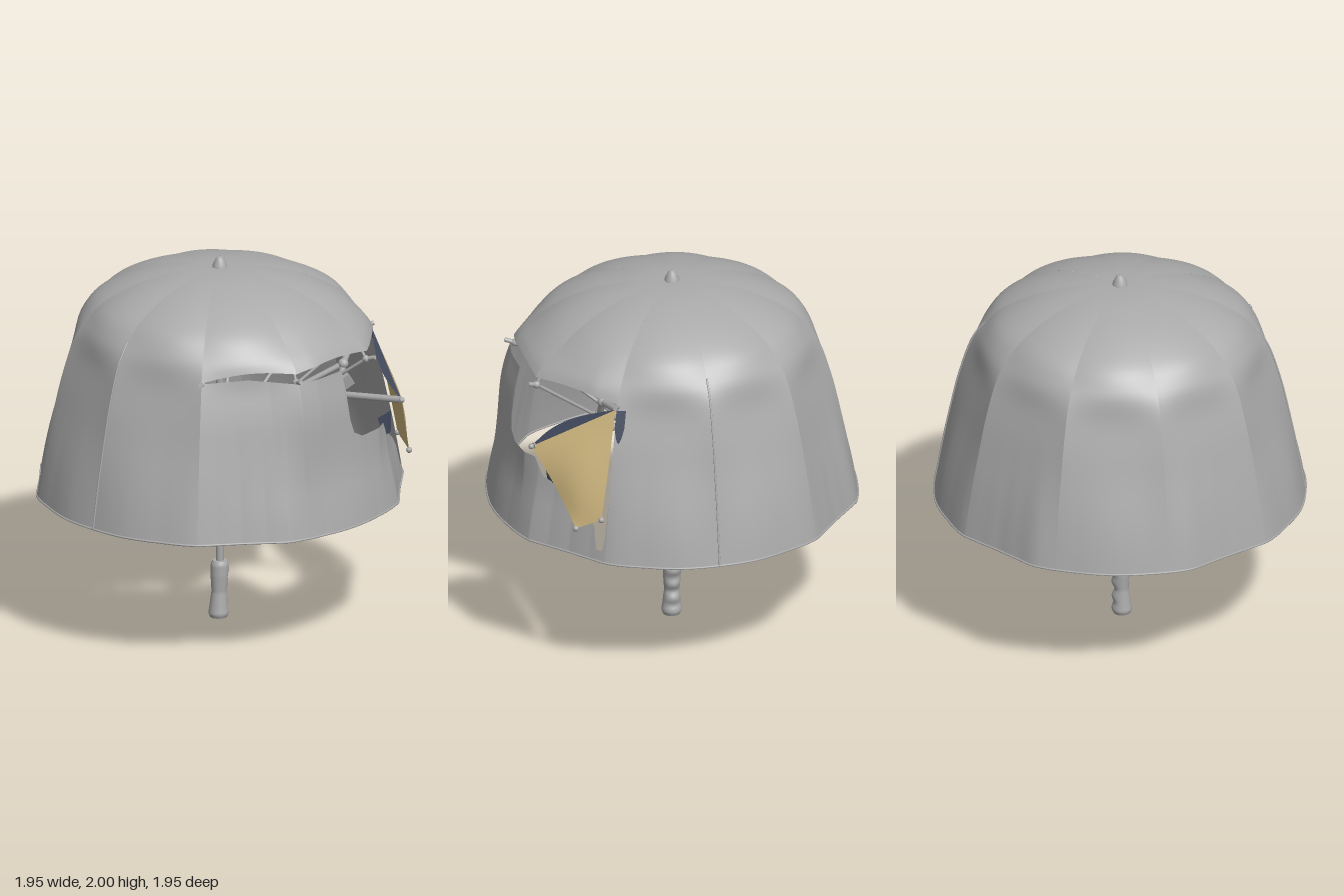
import * as THREE from 'three';

const grey = new THREE.MeshStandardMaterial({ color: 0xaaaaaa, side: THREE.DoubleSide });
grey.name = 'grey';
const tan = new THREE.MeshStandardMaterial({ color: 0xcbb37c, side: THREE.DoubleSide });
tan.name = 'tan';
const navy = new THREE.MeshStandardMaterial({ color: 0x40485b, side: THREE.DoubleSide });
navy.name = 'navy';

const V = (x, y, z) => new THREE.Vector3(x, y, z);
const { lerp, smoothstep, clamp } = THREE.MathUtils;

// Piecewise linear lookup in [[x, y], ...]
function lookup(table, x) {
  for (let i = 1; i < table.length; i++) {
    const [x0, y0] = table[i - 1], [x1, y1] = table[i];
    if (x <= x1) return lerp(y0, y1, clamp((x - x0) / (x1 - x0), 0, 1));
  }
  return table[table.length - 1][1];
}

// Canopy section along a rib (radius, height), and hem radius by angle in one quadrant
const section = new THREE.SplineCurve([
  [0, 1.945], [0.2, 1.935], [0.42, 1.885], [0.6, 1.8], [0.7, 1.71], [0.775, 1.6],
  [0.84, 1.4], [0.885, 1.2], [0.925, 1.0], [0.97, 0.74],
].map(([x, y]) => new THREE.Vector2(x, y)));
const hemRadius = [[0, 0.97], [12, 0.975], [24, 0.968], [35, 0.978], [42, 0.953], [50, 0.94], [58, 0.952],
  [65, 0.98], [78, 0.968], [90, 0.97]];
// How far the torn front cloth bellies out, by angle
const bellyOut = [[36, 0], [46, 0.045], [68, 0.075], [100, 0.075], [118, 0.03], [144, 0]];

// Section parameter at a given height
function tAt(y) {
  let a = 0, b = 1;
  for (let i = 0; i < 24; i++) {
    const m = (a + b) / 2;
    if (section.getPoint(m).y > y) a = m; else b = m;
  }
  return a;
}

// Point on the canopy; angle in degrees from +x towards the front (+z)
function canopyPoint(deg, t, offset = 0) {
  const { x: r, y } = section.getPoint(t);
  const mid = (((deg % 36) + 36) % 36 - 18) * Math.PI / 180;
  // taut between the ribs at the shoulder, puffed over them on the dome
  const deca = Math.cos(Math.PI / 10) / Math.cos(mid);
  const upper = lerp(deca, 1 + 0.035 * Math.cos(5 * mid), smoothstep(y, 1.5, 1.82));
  let q = ((deg % 180) + 180) % 180;
  if (q > 90) q = 180 - q;
  const f = lerp(lookup(hemRadius, q) / 0.97, upper, smoothstep(y, 0.8, 1.5));
  const out = lookup(bellyOut, deg) * smoothstep(y, 0.95, 1.5) * (1 - smoothstep(y, 1.6, 1.8));
  const R = r * f + out + offset, a = deg * Math.PI / 180;
  return V(R * Math.cos(a), y, R * Math.sin(a));
}

// Smooth grid surface from fn(u, v)
function sheet(fn, nu, nv) {
  const pos = [], idx = [];
  for (let j = 0; j <= nv; j++) for (let i = 0; i <= nu; i++) pos.push(...fn(i / nu, j / nv).toArray());
  for (let j = 0; j < nv; j++) for (let i = 0; i < nu; i++) {
    const a = j * (nu + 1) + i, b = a + nu + 1;
    idx.push(a, a + 1, b, a + 1, b + 1, b);
  }
  const g = new THREE.BufferGeometry();
  g.setAttribute('position', new THREE.Float32BufferAttribute(pos, 3));
  g.setIndex(idx);
  g.computeVertexNormals();
  return g;
}

// Upper edge of the torn skirt, by angle
const skirtTop = [[36, 1.06], [36.6, 0.83], [37.5, 0.8], [39.5, 0.8], [41, 0.92], [47, 1.0], [56, 1.07], [63, 1.1], [67, 1.19],
  [81, 1.185], [85, 1.22], [86.6, 1.3], [87.3, 1.56], [108, 1.555], [126, 1.585], [144, 1.57]];
// Lower edge of the torn crown, by angle
function crownEdge(deg) {
  const base = lookup([[36, 1.575], [72, 1.605], [108, 1.605], [144, 1.575]], deg);
  return base + 0.027 * Math.sin(((deg - 36) % 36) / 36 * Math.PI);
}

export function createModel() {
  const model = new THREE.Group();
  const add = (name, geo, mat = grey, parent = model) => {
    const m = new THREE.Mesh(geo, mat);
    m.name = name;
    parent.add(m);
    return m;
  };
  const group = (name) => {
    const g = new THREE.Group();
    g.name = name;
    model.add(g);
    return g;
  };
  const tube = (name, pts, r, parent, n = 20) =>
    add(name, new THREE.TubeGeometry(new THREE.CatmullRomCurve3(pts), n, r, 8), grey, parent);
  // Straight rod between two points
  const rod = (name, a, b, r, parent) => {
    const d = b.clone().sub(a);
    const m = add(name, new THREE.CylinderGeometry(r, r, d.length(), 10), grey, parent);
    m.position.copy(a).addScaledVector(d, 0.5);
    m.quaternion.setFromUnitVectors(V(0, 1, 0), d.normalize());
  };
  const lathe = (name, pts) =>
    add(name, new THREE.LatheGeometry(pts.map(p => new THREE.Vector2(...p)), 24));

  // Canopy: ten panels, three of them torn open at the front
  const canopy = group('canopy');
  for (let k = 0; k < 10; k++) {
    const d0 = k * 36;
    if (k >= 1 && k <= 3) {
      add('tornCrownPanel', sheet((u, v) => {
        const d = d0 + 36 * u;
        return canopyPoint(d, v * tAt(crownEdge(d)));
      }, 18, 24), grey, canopy);
    } else {
      add('canopyPanel', sheet((u, v) => canopyPoint(d0 + 36 * u, v), 18, 40), grey, canopy);
    }
  }
  add('tornSkirt', sheet((u, v) => {
    const d = 36 + 108 * u;
    return canopyPoint(d, lerp(tAt(lookup(skirtTop, d)), 1, v));
  }, 216, 20), grey, canopy);

  // Hem and the raised side seams
  const hem = [];
  for (let d = 0; d < 360; d += 4) hem.push(canopyPoint(d, 1));
  add('hem', new THREE.TubeGeometry(new THREE.CatmullRomCurve3(hem, true), 180, 0.006, 6, true), grey, canopy);
  for (const d of [0, 180]) {
    const pts = [];
    for (let i = 9; i <= 20; i++) pts.push(canopyPoint(d, i / 20, 0.002));
    tube('sideSeam', pts, 0.005, canopy, 50);
  }

  // Frame: ribs, stretchers and exposed tips
  const frame = group('frame');
  const tipT = tAt(1.575);
  for (let k = 0; k < 10; k++) {
    const pts = [];
    for (let i = 0; i <= 10; i++) {
      const p = canopyPoint(k * 36, lerp(0.03, tipT, i / 10), -0.018);
      p.y -= 0.016;
      pts.push(p);
    }
    tube('rib', pts, 0.008, frame);
    const end = pts[10], a = k * Math.PI / 5;
    rod('stretcher', V(0.04 * Math.cos(a), 0.96, 0.04 * Math.sin(a)), end, 0.009, frame);
    if (k >= 1 && k <= 4) {
      rod('ribTip', end, canopyPoint(k * 36, tipT, 0.035), 0.012, frame);
      add('ribJoint', new THREE.SphereGeometry(0.02, 12, 8), grey, frame).position.copy(end);
    }
  }

  // Shaft, finial and runner
  rod('shaft', V(0, 0.28, 0), V(0, 1.94, 0), 0.021, model);
  lathe('finial', [[0.04, 1.935], [0.038, 1.955], [0.022, 1.99], [0.012, 2], [0, 2]]);
  lathe('runner', [[0.02, 0.9], [0.04, 0.9], [0.04, 0.935], [0.055, 0.945], [0.055, 0.975], [0.03, 1.0], [0.02, 1.0]]);
  lathe('collar', [[0.02, 0.61], [0.045, 0.615], [0.052, 0.64], [0.052, 0.74], [0.03, 0.76], [0.02, 0.76]]);

  // Grip with finger grooves on one side
  const grip = new THREE.CylinderGeometry(1, 1, 0.31, 24, 40);
  const gp = grip.attributes.position;
  const gripRadius = [[0, 0.045], [0.02, 0.054], [0.05, 0.05], [0.14, 0.04], [0.23, 0.047], [0.29, 0.047], [0.31, 0.038]];
  for (let i = 0; i < gp.count; i++) {
    const h = gp.getY(i) + 0.155, x = gp.getX(i), z = gp.getZ(i);
    const r = lookup(gripRadius, h);
    const groove = Math.max(x, 0) * 0.006 * Math.sin(h * 78) * (h > 0.04 && h < 0.29 ? 1 : 0);
    gp.setXYZ(i, x * r + groove - 0.01 * (1 - h / 0.31), h + 0.005, z * r);
  }
  grip.computeVertexNormals();
  add('grip', grip);

  // Drive unit beside the shaft
  const drive = group('driveUnit');
  rod('driveBody', V(0.1, 0.63, 0.02), V(0.1, 0.86, 0.02), 0.045, drive);
  rod('driveBand', V(0.1, 0.69, 0.02), V(0.1, 0.72, 0.02), 0.052, drive);
  rod('driveKnob', V(0.1, 0.59, 0.02), V(0.1, 0.64, 0.02), 0.024, drive);
  add('bracket', new THREE.BoxGeometry(0.1, 0.08, 0.05), grey, drive).position.set(0.05, 0.68, 0.01);
  tube('cable', [V(0.1, 0.86, 0.02), V(0.15, 0.92, 0.05), V(0.18, 0.84, 0.06), V(0.17, 0.7, 0.05), V(0.13, 0.66, 0.03)], 0.012, drive, 30);

  // Jointed arm reaching through the opening
  const arm = group('arm');
  const joints = [V(0.1, 0.86, 0.02), V(0.11, 1.02, 0.07), V(0.19, 1.25, 0.28), V(0.35, 1.27, 0.52), V(0.45, 1.3, 0.87)];
  const branch = [joints[3], V(0.41, 1.42, 0.5), V(0.47, 1.52, 0.5), V(0.64, 1.55, 0.47)];
  for (const chain of [joints, branch]) {
    for (let i = 1; i < chain.length; i++) {
      rod('armLink', chain[i - 1], chain[i], 0.018, arm);
      if (i < chain.length - 1) add('armJoint', new THREE.SphereGeometry(0.028, 12, 8), grey, arm).position.copy(chain[i]);
    }
  }
  rod('armStrut', joints[2], branch[1], 0.016, arm);
  const block = add('armBlock', new THREE.BoxGeometry(0.13, 0.07, 0.07), grey, arm);
  block.position.set(0.36, 1.33, 0.52);
  block.rotation.set(0.2, -0.5, 0.7);

  // Flap stretched over the opening, its right edge following the rib
  const flap = group('flap');
  const B = V(0.45, 1.3, 0.88), C = V(0.695, 0.915, 0.705);
  const rightEdge = v => canopyPoint(lerp(36.4, 38, v * v), tAt(lerp(1.555, 0.97, v)), 0.014);
  const A = rightEdge(0), D = rightEdge(1);
  add('flapCloth', sheet((u, v) => {
    const p = B.clone().lerp(C, v).lerp(rightEdge(v), u);
    const s = Math.sin(Math.PI * v);
    p.addScaledVector(V(0.74, 0, 0.67), 0.03 * s * Math.sin(Math.PI * u));
    return p.addScaledVector(V(0.67, 0, -0.74), 0.015 * s * Math.max(0, 1 - 2 * u));
  }, 16, 16), tan, flap);
  // Dark lining folded over along the upper edge
  const fold = V(0.47, 1.43, 0.71).sub(A.clone().lerp(B, 0.5));
  add('flapFold', sheet((u, v) => A.clone().lerp(B, u).addScaledVector(fold, Math.sin(Math.PI * u) * v), 16, 6), navy, flap);
  for (const p of [B, C, D]) {
    add('flapTie', new THREE.SphereGeometry(0.016, 10, 8), grey, flap).position.copy(p);
  }

  // Loose dark scraps: one inside the opening, one on the canopy
  add('innerScrap', sheet((u, v) =>
    V(0.36, 1.2, 0.79).lerp(V(0.52, 1.19, 0.74), u).lerp(V(0.42, 1.08, 0.785).lerp(V(0.5, 1.08, 0.755), u), v), 2, 2), navy, flap);
  add('outerScrap', sheet((u, v) => {
    const bottom = lerp(1.46, 1.38, Math.sin(Math.PI * u));
    return canopyPoint(lerp(32.6, 36, u), tAt(lerp(1.55, bottom, v)), 0.008);
  }, 8, 6), navy, flap);

  return model;
}
